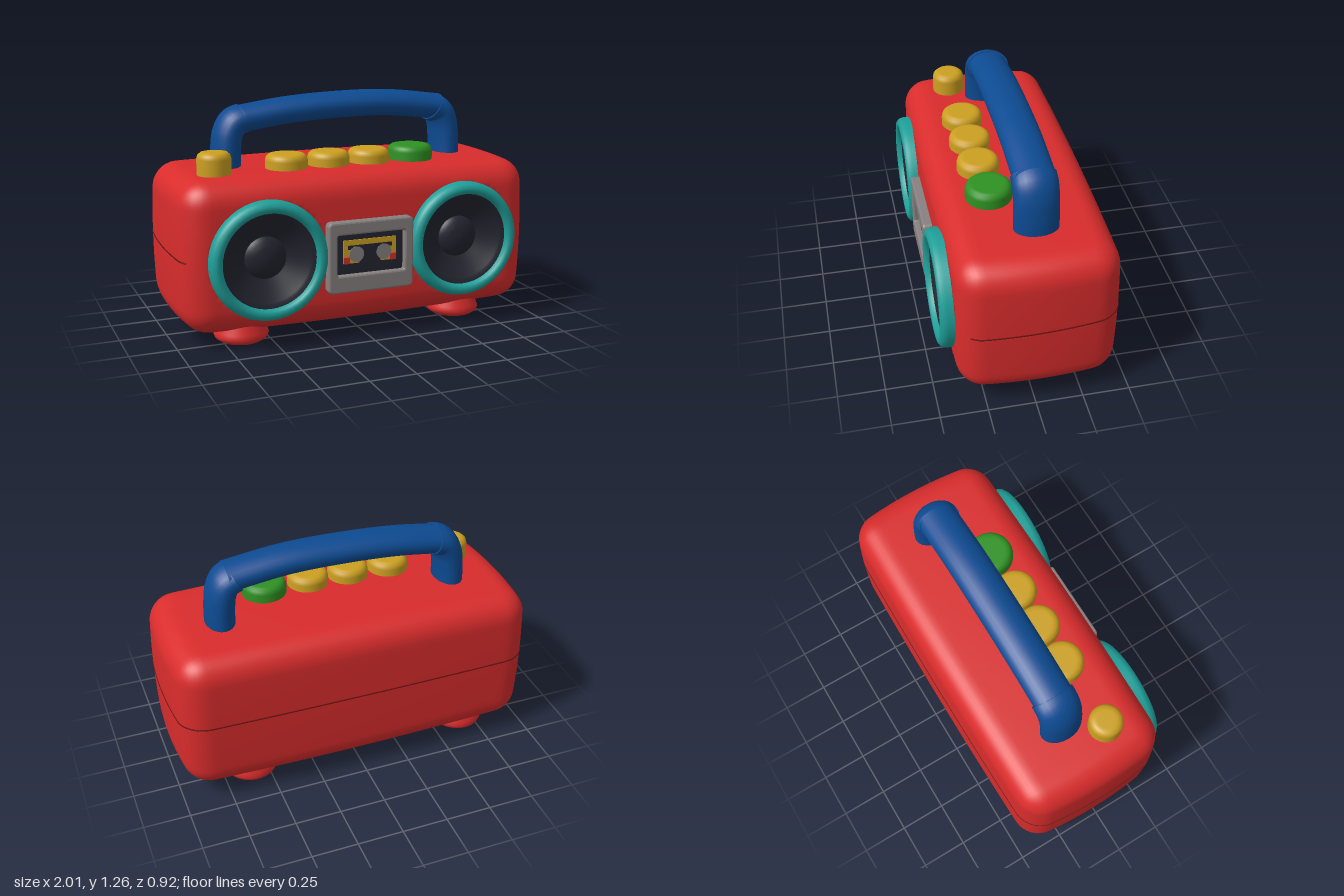
import * as THREE from 'three';
import { mergeVertices } from 'three/addons/utils/BufferGeometryUtils.js';

const mat = (name, color) => {
  const m = new THREE.MeshStandardMaterial({ color });
  m.name = name;
  return m;
};

const HALF = new THREE.Vector3(1, 0.41, 0.43);
const MID = new THREE.Vector3(0, 0.48, -0.03);
const SPEAKERS = [[-0.55, 0.47], [0.55, 0.48]];

// Moves a point of the plain box onto the rounded, slightly bulging case
function onCase(p) {
  const r = 0.13;
  const inner = HALF.clone().subScalar(r);
  const q = p.clone().clamp(inner.clone().negate(), inner);
  const s = p.clone().sub(q).setLength(r).add(q);
  const u = s.x / HALF.x, v = s.y / HALF.y, w = s.z / HALF.z;
  s.x *= 1 - 0.035 * w * w - 0.015 * v * v;
  s.y *= 1 - 0.03 * u * u - 0.01 * w * w;
  s.z *= 1 - 0.03 * u * u - 0.02 * v * v;
  return s.add(MID);
}

function caseGeometry() {
  let g = new THREE.BoxGeometry(2, 0.82, 0.86, 60, 30, 30);
  g.deleteAttribute('uv');
  g.deleteAttribute('normal');
  g = mergeVertices(g);
  const pos = g.attributes.position;
  for (let i = 0; i < pos.count; i++) {
    const s = onCase(new THREE.Vector3().fromBufferAttribute(pos, i));
    // wells behind the speaker cones
    const inWell = SPEAKERS.some(([x, y]) => Math.hypot(s.x - x, s.y - y) < 0.27);
    if (s.z > 0.3 && inWell) s.z -= 0.14;
    pos.setXYZ(i, s.x, s.y, s.z);
  }
  g.computeVertexNormals();
  return g;
}

const lathe = (pts, seg = 40) =>
  new THREE.LatheGeometry(pts.map(([x, y]) => new THREE.Vector2(x, y)), seg);

// Disc with a rounded upper edge
const button = (r, h) => lathe([
  [r, 0], [r, h - 0.035], [r - 0.006, h - 0.015], [r - 0.02, h - 0.003],
  [r - 0.035, h], [r - 0.045, h], [0, h],
]);

function roundedRect(T, w, h, r, cx = 0, cy = 0) {
  const s = new T();
  const x = w / 2 - r, y = h / 2 - r;
  s.absarc(cx + x, cy + y, r, 0, Math.PI / 2);
  s.absarc(cx - x, cy + y, r, Math.PI / 2, Math.PI);
  s.absarc(cx - x, cy - y, r, Math.PI, Math.PI * 1.5);
  s.absarc(cx + x, cy - y, r, Math.PI * 1.5, Math.PI * 2);
  s.closePath();
  return s;
}

const curve = (pts) => new THREE.CatmullRomCurve3(pts.map((p) => new THREE.Vector3(...p)));

export function createModel() {
  const red = mat('red', 0xd92c2c);
  const blue = mat('blue', 0x0d4b92);
  const teal = mat('teal', 0x1f9f99);
  const yellow = mat('yellow', 0xcb9f20);
  const green = mat('green', 0x2f9122);
  const dark = mat('charcoal', 0x23242f);
  const grey = mat('grey', 0x878080);
  const seamRed = mat('darkRed', 0x6b1214);

  const model = new THREE.Group();
  const add = (name, geo, material, x = 0, y = 0, z = 0, parent = model) => {
    const m = new THREE.Mesh(geo, material);
    m.name = name;
    m.position.set(x, y, z);
    parent.add(m);
    return m;
  };

  add('case', caseGeometry(), red);

  // Seam running round the sides and back
  const seam = [];
  const seamPoint = (x, z) => seam.push(onCase(new THREE.Vector3(x, 0.005 - z * 0.03, z)));
  for (let i = 0; i <= 16; i++) seamPoint(1, 0.38 - i * 0.05);
  for (let i = 0; i <= 38; i++) seamPoint(0.95 - i * 0.05, -0.43);
  for (let i = 0; i <= 16; i++) seamPoint(-1, -0.42 + i * 0.05);
  add('seam', new THREE.TubeGeometry(new THREE.CatmullRomCurve3(seam), 160, 0.004, 5), seamRed);

  // Feet
  const footGeo = lathe([
    [0, 0], [0.08, 0.002], [0.115, 0.01], [0.138, 0.025], [0.146, 0.045], [0.138, 0.065], [0.12, 0.12],
  ]);
  for (const x of [-0.65, 0.595])
    for (const z of [0.22, -0.26]) add('foot', footGeo, red, x, z > 0 ? 0 : 0.015, z);

  // Speakers: rim, sunken cone and centre dome
  const rimGeo = lathe([
    [0.312, 0.33], [0.314, 0.42], [0.306, 0.445], [0.29, 0.458], [0.272, 0.46],
    [0.258, 0.452], [0.25, 0.435], [0.248, 0.41],
  ], 48).rotateX(Math.PI / 2);
  const coneGeo = lathe([
    [0.254, 0.43], [0.232, 0.424], [0.222, 0.415], [0.17, 0.38], [0.11, 0.345], [0.1, 0.34],
  ], 48).rotateX(Math.PI / 2);
  const domeGeo = lathe([
    [0.115, 0.335], [0.11, 0.355], [0.09, 0.372], [0.06, 0.384], [0.03, 0.39], [0, 0.392],
  ], 32).rotateX(Math.PI / 2);
  for (const [x, y] of SPEAKERS) {
    const speaker = new THREE.Group();
    speaker.name = 'speaker';
    speaker.position.set(x, y, 0);
    model.add(speaker);
    add('speakerRim', rimGeo, teal, 0, 0, 0, speaker);
    add('speakerCone', coneGeo, dark, 0, 0, 0, speaker);
    add('speakerDome', domeGeo, dark, 0, 0, 0, speaker);
  }

  // Cassette door with window
  const frame = roundedRect(THREE.Shape, 0.46, 0.36, 0.015);
  frame.holes.push(roundedRect(THREE.Path, 0.4, 0.236, 0.02, 0, 0.0125));
  add('cassetteDoor', new THREE.ExtrudeGeometry(frame, {
    depth: 0.06, bevelThickness: 0.01, bevelSize: 0.01, bevelSegments: 2, curveSegments: 6,
  }), grey, 0, 0.45, 0.378);
  add('cassetteWindow', new THREE.BoxGeometry(0.42, 0.26, 0.02), dark, 0, 0.4625, 0.405);
  const plate = (name, w, h, material, x, y, z) =>
    add(name, new THREE.BoxGeometry(w, h, 0.006), material, x, y, z);
  plate('cassetteLabel', 0.3, 0.125, yellow, 0, 0.474, 0.418);
  plate('cassetteStripe', 0.25, 0.022, dark, 0, 0.497, 0.421);
  plate('tapeGap', 0.12, 0.085, dark, 0, 0.451, 0.421);
  const reelGeo = new THREE.CylinderGeometry(0.042, 0.042, 0.008, 24).rotateX(Math.PI / 2);
  for (const s of [-1, 1]) {
    plate('cassetteMark', 0.035, 0.035, red, s * 0.132, 0.428, 0.422);
    add('reel', reelGeo, grey, s * 0.078, 0.46, 0.424);
  }

  // Top buttons and knob
  for (const x of [-0.355, -0.118, 0.115]) add('playButton', button(0.113, 0.14), yellow, x, 0.823, 0.125);
  add('recordButton', button(0.122, 0.145), green, 0.367, 0.823, 0.118);
  add('knob', button(0.09, 0.175), yellow, -0.75, 0.823, 0.135);

  // Carrying handle: flattened arched bar and two thicker elbows
  const handle = new THREE.Group();
  handle.name = 'handle';
  handle.position.z = -0.062;
  handle.scale.z = 1.48;
  model.add(handle);
  const bar = curve([[-0.58, 1.125, 0], [-0.3, 1.163, 0], [0, 1.18, 0], [0.3, 1.178, 0], [0.62, 1.14, 0]]);
  add('handleBar', new THREE.TubeGeometry(bar, 40, 0.073, 24), blue, 0, 0, 0, handle);
  const elbows = [
    [[-0.635, 0.84, 0], [-0.632, 0.97, 0], [-0.618, 1.06, 0], [-0.585, 1.115, 0], [-0.535, 1.133, 0]],
    [[0.665, 0.84, 0], [0.662, 0.97, 0], [0.65, 1.06, 0], [0.625, 1.115, 0], [0.58, 1.14, 0]],
  ];
  for (const pts of elbows) {
    add('handleElbow', new THREE.TubeGeometry(curve(pts), 28, 0.079, 24), blue, 0, 0, 0, handle);
    // closes the elbow's open end against the bar
    const [a, b] = [pts[3], pts[4]];
    const cap = add('elbowEnd', new THREE.CircleGeometry(0.079, 24), blue, ...b, handle);
    cap.lookAt(new THREE.Vector3(b[0] * 2 - a[0], b[1] * 2 - a[1], 0).add(new THREE.Vector3(0, 0, -0.062)));
  }
  return model;
}
